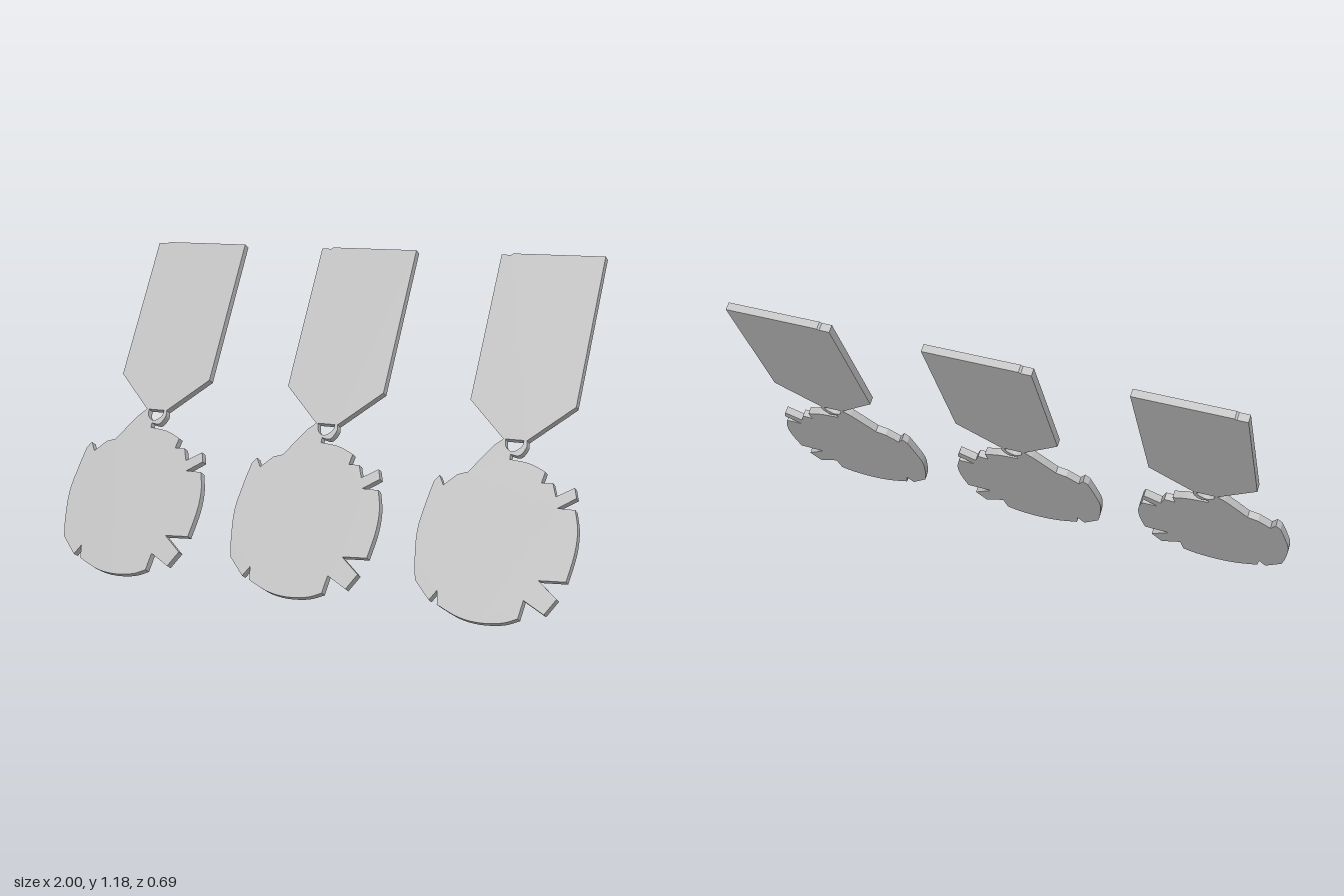
import * as THREE from 'three';

const TILT = THREE.MathUtils.degToRad(29.65);
const THICK = 0.028;
const SPACING = 0.717;

// Heights are given upright, so stretch them onto the leaning plane
const onPlane = ([x, y]) => new THREE.Vector2(x, y / Math.cos(TILT));

// Outline made of runs: straight corners or smooth rim curves
function outline(runs) {
  const points = [];
  for (const { curve, pts } of runs) {
    const p = pts.map(onPlane);
    points.push(...(curve ? new THREE.SplineCurve(p).getPoints(14) : p));
  }
  return new THREE.Shape(points);
}

function plate(shape, material, name) {
  const geometry = new THREE.ExtrudeGeometry(shape, { depth: THICK, bevelEnabled: false });
  geometry.translate(0, 0, -THICK);
  const mesh = new THREE.Mesh(geometry, material);
  mesh.name = name;
  return mesh;
}

export function createModel() {
  const silver = new THREE.MeshStandardMaterial({ color: 0xc0c0c0 });
  silver.name = 'silver grey';

  // Ribbon with pointed lower end
  const ribbonShape = outline([{ pts: [
    [-0.194, 0.690], [-0.045, 0.574], [0.041, 0.574], [0.190, 0.690],
    [0.190, 1.179], [-0.150, 1.179], [-0.157, 1.174], [-0.194, 1.174],
  ] }]);

  // Disc with chipped rim and the hanging loop at its top
  const discShape = outline([
    { pts: [[-0.045, 0.574], [-0.071, 0.553], [-0.108, 0.510], [-0.146, 0.462],
      [-0.183, 0.451], [-0.226, 0.414], [-0.247, 0.443]] },
    { curve: true, pts: [[-0.263, 0.424], [-0.277, 0.345], [-0.285, 0.264], [-0.269, 0.168], [-0.253, 0.115]] },
    { pts: [[-0.189, 0.061], [-0.167, 0.093]] },
    { curve: true, pts: [[-0.157, 0.051], [-0.076, 0.023], [0, 0.014], [0.079, 0.021], [0.132, 0.040]] },
    { pts: [[0.139, 0.095], [0.217, 0.061], [0.250, 0.110], [0.177, 0.158]] },
    { curve: true, pts: [[0.270, 0.163], [0.281, 0.249], [0.276, 0.318], [0.255, 0.377]] },
    { pts: [[0.193, 0.377], [0.252, 0.412], [0.239, 0.443], [0.180, 0.411],
      [0.161, 0.451], [0.121, 0.449], [0.127, 0.483]] },
    { curve: true, pts: [[0.118, 0.487], [0.063, 0.505], [-0.007, 0.512]] },
    // loop: outer side up, then inner side back down
    { curve: true, pts: [[-0.008, 0.528], [0.025, 0.526], [0.044, 0.553], [0.041, 0.574]] },
    { curve: true, pts: [[0.030, 0.574], [0.026, 0.553], [-0.002, 0.537], [-0.028, 0.548], [-0.037, 0.574]] },
  ]);

  // Row of three medals leaning back
  const model = new THREE.Group();
  model.name = 'medalRow';
  for (const i of [-1, 0, 1]) {
    const medal = new THREE.Group();
    medal.name = ['rightMedal', 'middleMedal', 'leftMedal'][i + 1];
    medal.add(plate(ribbonShape, silver, 'ribbon'), plate(discShape, silver, 'discAndLoop'));
    medal.position.set(i * SPACING, 0, 0.3515);
    medal.rotation.x = -TILT;
    model.add(medal);
  }
  return model;
}
